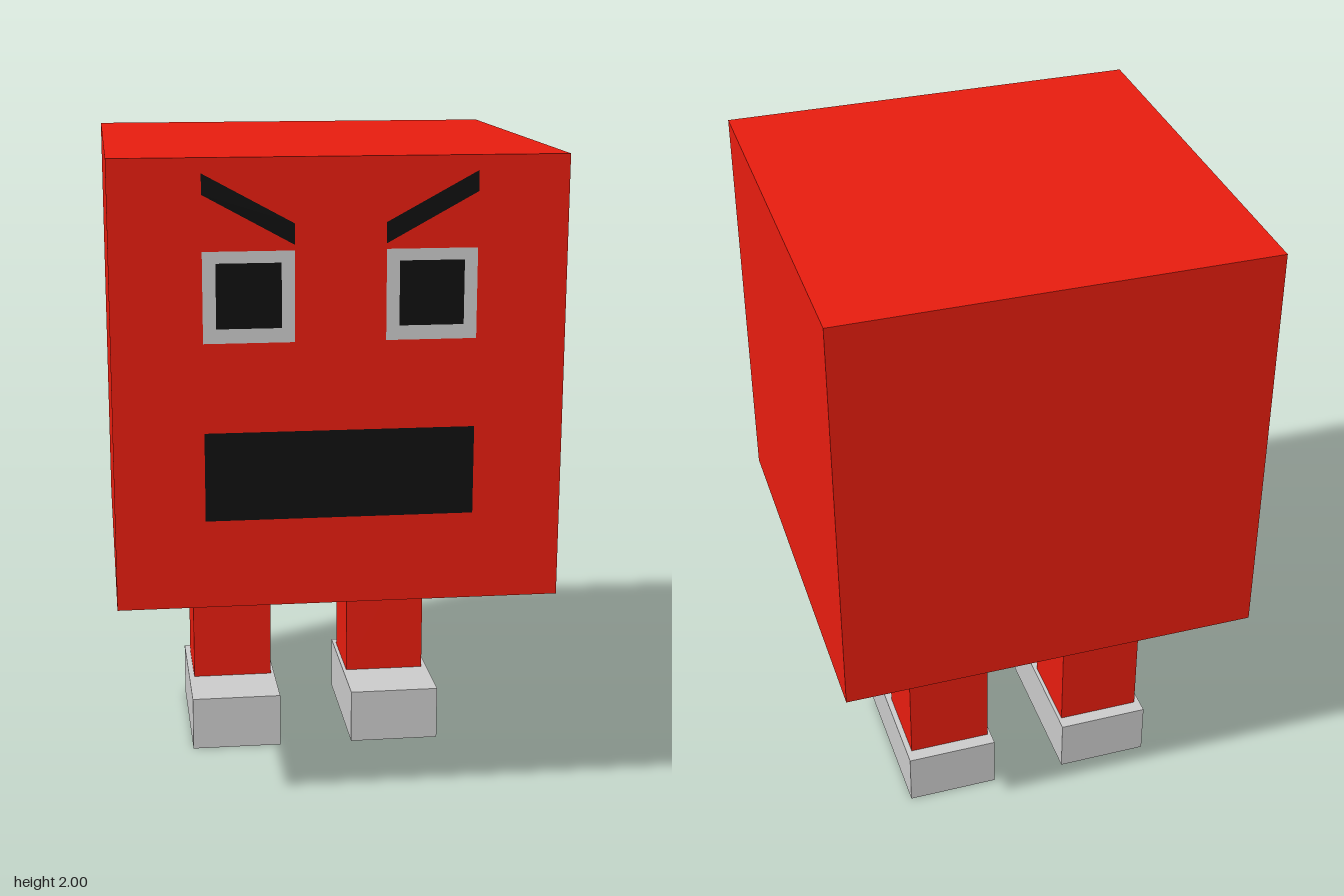
import * as THREE from 'three';

const red = new THREE.MeshStandardMaterial({ color: 0xe81d0f });
const black = new THREE.MeshStandardMaterial({ color: 0x0f0f0f });
const grey = new THREE.MeshStandardMaterial({ color: 0xcccccc });

const HALF = 0.652;     // half the cube body
const FACE = HALF;      // z of the front of the body

function add(parent, name, geometry, material, x, y, z) {
  const mesh = new THREE.Mesh(geometry, material);
  mesh.name = name;
  mesh.position.set(x, y, z);
  parent.add(mesh);
  return mesh;
}

// Flat patch on the face, from its corner points (counterclockwise)
function patch(points) {
  return new THREE.ShapeGeometry(new THREE.Shape(points.map(([x, y]) => new THREE.Vector2(x, y))));
}

export function createModel() {
  const model = new THREE.Group();
  model.name = 'cubeCreature';

  // Cube body
  add(model, 'body', new THREE.BoxGeometry(2 * HALF, 2 * HALF, 2 * HALF), red, 0, 2 - HALF, 0);

  // Mouth
  add(model, 'mouth', new THREE.PlaneGeometry(0.783, 0.261), black, 0, 1.088, FACE + 0.001);

  for (const [side, s] of [['left', 1], ['right', -1]]) {
    // Eye with square pupil
    add(model, side + 'Eye', new THREE.PlaneGeometry(0.261, 0.261), grey, s * 0.261, 1.609, FACE + 0.001);
    add(model, side + 'Pupil', new THREE.PlaneGeometry(0.186, 0.186), black, s * 0.261, 1.613, FACE + 0.002);

    // Slanted brow, low towards the middle
    const corners = [[0.13, 1.755], [0.391, 1.898], [0.391, 1.957], [0.13, 1.815]].map(([x, y]) => [s * x, y]);
    if (s < 0) corners.reverse();
    add(model, side + 'Brow', patch(corners), black, 0, 0, FACE + 0.001);

    // Leg set towards the back, foot pointing forward
    add(model, side + 'Leg', new THREE.BoxGeometry(0.261, 0.525, 0.261), red, s * 0.261, 0.4345, -0.261);
    add(model, side + 'Foot', new THREE.BoxGeometry(0.29, 0.174, 0.51), grey, s * 0.264, 0.087, -0.18);
  }
  return model;
}
